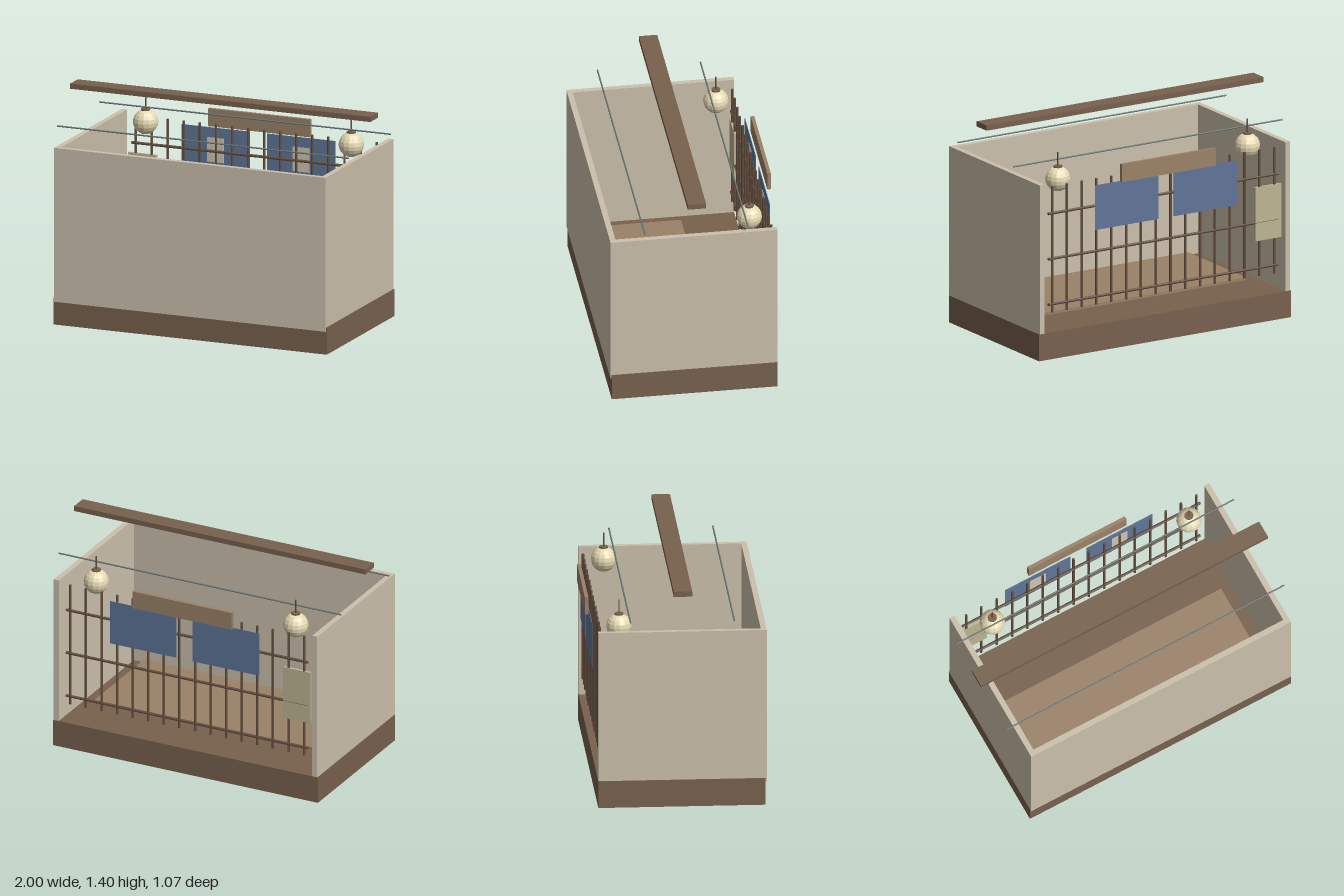
import * as THREE from 'three';

const mat = (color, opts = {}) => new THREE.MeshStandardMaterial({ color, ...opts });

export function createModel() {
  const model = new THREE.Group();
  model.name = 'stall';

  const darkWood = mat(0x78614e);
  const lightWood = mat(0x9b8268);
  const plaster = mat(0xcbc0ac);
  const barWood = mat(0x644f3f);
  const cloth = mat(0x5f7599);
  const patchCloth = mat(0xcfc6b4);
  const paper = mat(0xbdb592);
  const lanternPaper = mat(0xe6dab4, { flatShading: true });
  const metal = mat(0x6c7878);

  const add = (name, geometry, material, x, y, z, parent = model) => {
    const mesh = new THREE.Mesh(geometry, material);
    mesh.name = name;
    mesh.position.set(x, y, z);
    parent.add(mesh);
    return mesh;
  };
  // Box given by its lower and upper limits on each axis
  const box = (name, material, [x0, x1], [y0, y1], [z0, z1]) =>
    add(name, new THREE.BoxGeometry(x1 - x0, y1 - y0, z1 - z0), material,
      (x0 + x1) / 2, (y0 + y1) / 2, (z0 + z1) / 2);
  // Round bar lying along x
  const barX = (name, material, radius, length, y, z, parent) =>
    add(name, new THREE.CylinderGeometry(radius, radius, length, 8).rotateZ(Math.PI / 2),
      material, 0, y, z, parent);

  // Plinth and raised floor
  box('base', darkWood, [-0.91, 0.91], [0, 0.17], [-0.493, 0.53]);
  box('raisedFloor', lightWood, [-0.8, 0.8], [0.17, 0.188], [-0.155, 0.502]);

  // Walls on three sides; the back stays open
  box('frontWall', plaster, [-0.905, 0.905], [0.145, 1.115], [0.502, 0.537]);
  for (const s of [-1, 1]) {
    const wall = box('sideWall', plaster, [0.87, 0.905], [0.17, 1.115], [-0.493, 0.502]);
    wall.position.x *= s;
  }

  // Lattice across the open back
  const lattice = new THREE.Group();
  lattice.name = 'lattice';
  model.add(lattice);
  const latticeZ = -0.47;
  const upright = new THREE.CylinderGeometry(0.008, 0.008, 0.8, 8);
  for (let i = 0; i < 16; i++) {
    add('latticeUpright', upright, barWood, -0.803 + i * 0.107, 0.69, latticeZ, lattice);
  }
  for (const y of [0.342, 0.63, 0.918]) {
    barX('latticeRail', barWood, 0.009, 1.66, y, latticeZ, lattice);
  }

  // Paper notice fixed in the lattice
  box('notice', paper, [-0.85, -0.663], [0.515, 0.855], [latticeZ - 0.0085, latticeZ + 0.0085]);

  // Hanging cloths with a pale patch on the inner side
  for (const x of [-0.285, 0.285]) {
    box('hangingCloth', cloth, [x - 0.228, x + 0.228], [0.775, 1.058], [-0.506, -0.502]);
    box('clothPatch', patchCloth, [x - 0.055, x + 0.055], [0.84, 0.995], [-0.502, -0.5]);
  }

  // Blank board above the cloths
  box('headerBoard', lightWood, [-0.34, 0.34], [1.06, 1.172], [-0.537, -0.515]);

  // Overhead beam and the two wires
  box('ridgeBeam', darkWood, [-1, 1], [1.367, 1.4], [-0.038, 0.075]);
  for (const z of [-0.3, 0.335]) barX('wire', metal, 0.005, 1.94, 1.198, z);

  // Round lanterns with cap and hanging rod
  for (const x of [-0.685, 0.685]) {
    const lantern = new THREE.Group();
    lantern.name = 'lantern';
    lantern.position.set(x, 1.092, -0.352);
    model.add(lantern);
    add('lanternShade', new THREE.SphereGeometry(0.078, 14, 10), lanternPaper, 0, 0, 0, lantern);
    add('lanternCap', new THREE.CylinderGeometry(0.028, 0.028, 0.016, 12), darkWood, 0, 0.074, 0, lantern);
    add('lanternRod', new THREE.CylinderGeometry(0.004, 0.004, 0.09, 6), barWood, 0, 0.123, 0, lantern);
  }

  return model;
}
